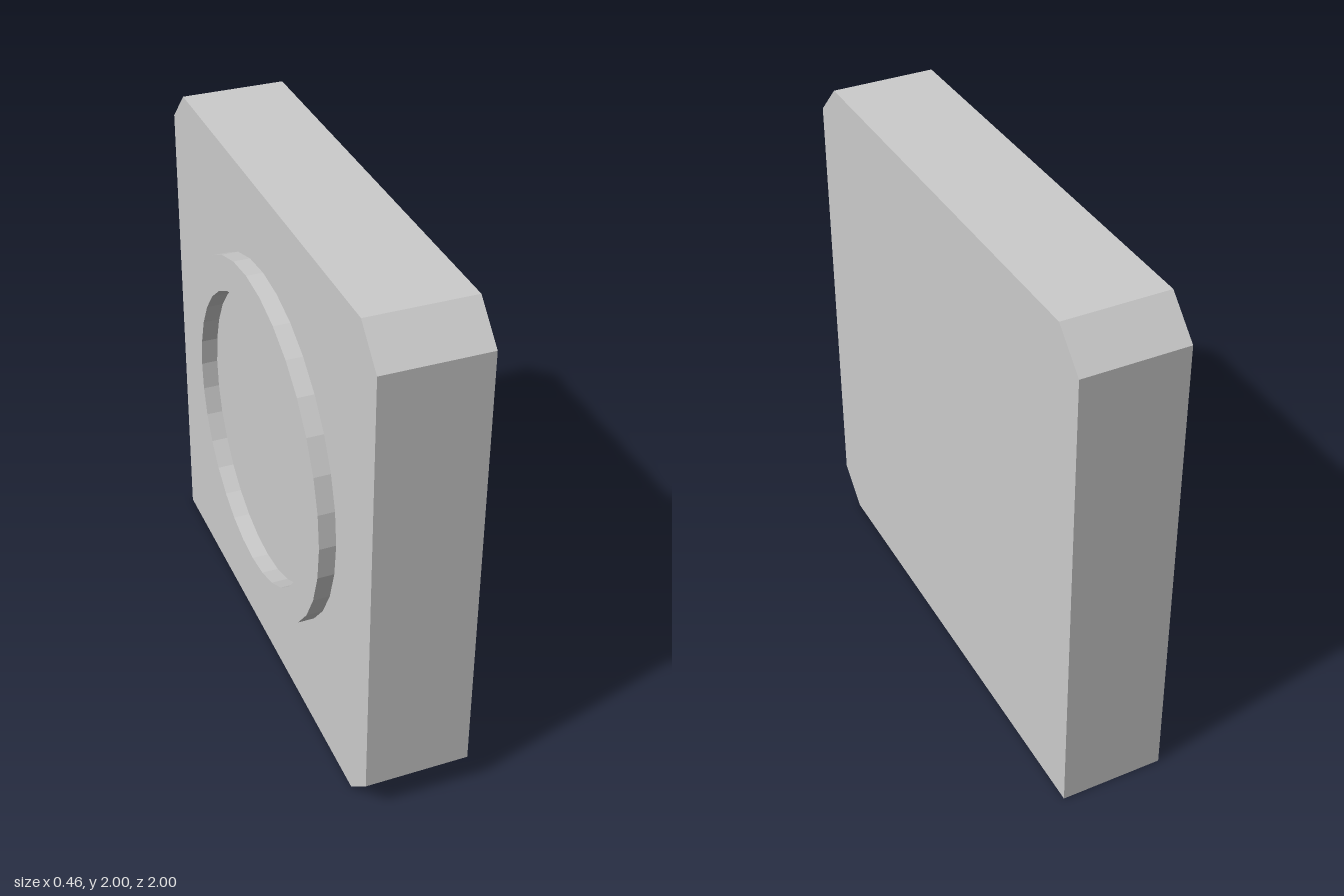
import * as THREE from 'three';

const material = new THREE.MeshStandardMaterial({ color: 0xcccccc, flatShading: true });

// Extrudes a (z, y) outline towards -x, starting at x = startX.
function plate(name, shape, startX, depth) {
  const geometry = new THREE.ExtrudeGeometry(shape, { depth, bevelEnabled: false, curveSegments: 16 });
  geometry.rotateY(-Math.PI / 2).translate(startX, 0, 0);
  const mesh = new THREE.Mesh(geometry, material);
  mesh.name = name;
  return mesh;
}

export function createModel() {
  const group = new THREE.Group();
  group.name = 'ringedPanel';

  // Square slab with three chamfered corners; the lower back corner stays square
  const c = 0.13;
  const outline = new THREE.Shape([
    [-1, 0], [1 - c, 0], [1, c], [1, 2 - c], [1 - c, 2], [-1 + c, 2], [-1, 2 - c],
  ].map(([z, y]) => new THREE.Vector2(z, y)));
  group.add(plate('slab', outline, 0.23, 0.4));

  // Raised 32-sided ring on the slab's right face
  const ring = new THREE.Shape().absarc(0, 1, 0.697, 0, Math.PI * 2, false);
  ring.holes.push(new THREE.Path().absarc(0, 1, 0.563, 0, Math.PI * 2, true));
  group.add(plate('ring', ring, -0.17, 0.063));

  return group;
}
